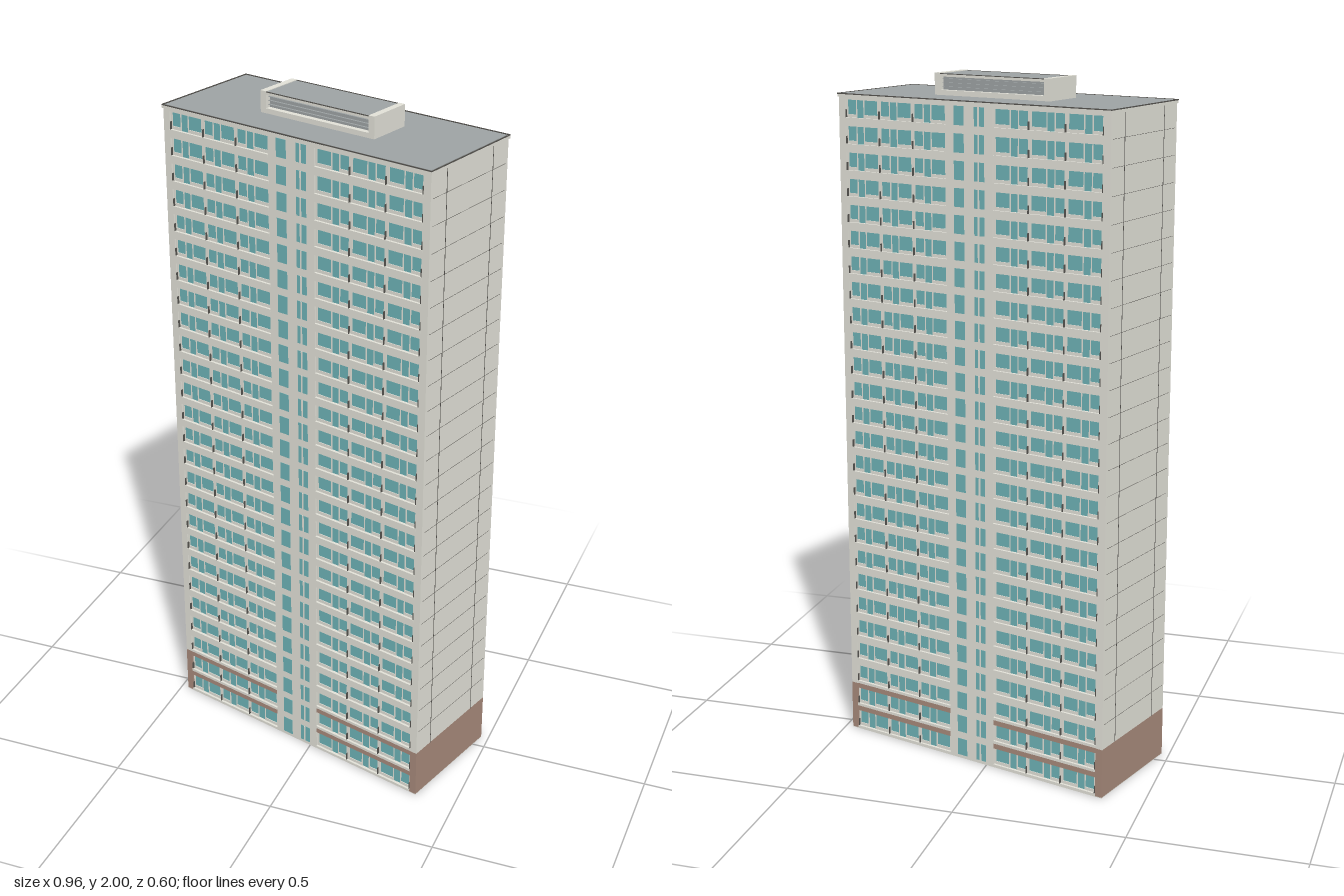
import * as THREE from 'three';
import { mergeGeometries } from 'three/addons/utils/BufferGeometryUtils.js';

const FLOORS = 26, P = 0.0745, TOP = FLOORS * P, BASE = 2 * P;
const HW = 0.446, HD = 0.177;             // half width and half depth of the tower
const BACK = 0.168;                       // depth of the recessed window wall
const BAY0 = 0.077, BAYW = 0.1157;        // balcony bays on each half

const mat = (name, color) => {
  const m = new THREE.MeshStandardMaterial({ color });
  m.name = name;
  return m;
};

export function createModel() {
  const M = {
    wall: mat('pale concrete', 0xe1e0d7),
    brick: mat('brown cladding', 0xa6897a),
    glass: mat('teal glass', 0x6db1b5),
    roof: mat('roof grey', 0x9da2a3),
    dark: mat('dark trim', 0x55534f),
  };

  // Boxes are collected per part and merged into one mesh each
  const parts = new Map();
  function box(name, material, x0, x1, y0, y1, z0, z1) {
    const g = new THREE.BoxGeometry(Math.abs(x1 - x0), y1 - y0, Math.abs(z1 - z0));
    g.translate((x0 + x1) / 2, (y0 + y1) / 2, (z0 + z1) / 2);
    if (!parts.has(name)) parts.set(name, { material, list: [] });
    parts.get(name).list.push(g);
  }

  // Solid core: pale ground slab, brown plinth storeys, concrete above
  box('groundSlab', M.wall, -HW, HW, 0, 0.002, -HD, HD);
  box('plinth', M.brick, -HW, HW, 0.002, BASE, -BACK, BACK);
  box('tower', M.wall, -HW, HW, BASE, TOP - 0.008, -BACK, BACK);

  // Both long facades; s mirrors the halves, f flips front and back
  for (const f of [1, -1]) {
    box('stairTower', M.wall, -BAY0, BAY0, 0.002, TOP - 0.008, f * (BACK - 0.01), f * HD);
    for (const s of [1, -1]) {
      // corner piers
      box('plinthPier', M.brick, s * 0.424, s * HW, 0.002, BASE, f * BACK, f * HD);
      box('cornerPier', M.wall, s * 0.424, s * HW, BASE, TOP - 0.008, f * BACK, f * HD);

      for (let i = 0; i < FLOORS; i++) {
        const y = i * P;
        // stair windows, one of each pair divided by a mullion
        box('stairWindow', M.glass, s * 0.017, s * 0.050, y + 0.010, y + 0.062, f * HD, f * (HD + 0.001));
        if (s * f > 0)
          box('stairMullion', M.wall, s * 0.029, s * 0.034, y + 0.010, y + 0.062, f * HD, f * (HD + 0.002));

        // balcony floor, and lintel band in brown on the plinth
        const low = i < 2;
        box('balconyFloor', M.wall, s * BAY0, s * 0.424, y + 0.002, y + 0.010, f * BACK, f * (HD + 0.002));
        box(low ? 'plinthBand' : 'lintelBand', low ? M.brick : M.wall, s * BAY0, s * 0.424,
          y + 0.060, y + P + (i === FLOORS - 1 ? -0.008 : 0.002), f * BACK, f * HD);

        for (let b = 0; b < 3; b++) {
          const u = BAY0 + b * BAYW;
          const zg = f * (BACK + 0.002);
          // wide window, door and narrow window
          box('wideWindow', M.glass, s * (u + 0.006), s * (u + 0.052), y + 0.019, y + 0.060, f * BACK, zg);
          box('balconyDoor', M.glass, s * (u + 0.055), s * (u + 0.078), y + 0.010, y + 0.060, f * BACK, zg);
          box('narrowWindow', M.glass, s * (u + 0.081), s * (u + 0.110), y + 0.019, y + 0.060, f * BACK, zg);
          // pale frames around the panes
          for (const [a, c] of [[0, 0.006], [0.052, 0.055], [0.078, 0.081], [0.110, BAYW]])
            box('windowFrame', M.wall, s * (u + a), s * (u + c), y + 0.010, y + 0.060, f * BACK, f * (BACK + 0.004));
          for (const [a, c] of [[0.006, 0.052], [0.081, 0.110]])
            box('windowSill', M.wall, s * (u + a), s * (u + c), y + 0.010, y + 0.019, f * BACK, f * (BACK + 0.004));
          // slim dark post at the bay edge
          box('railingPost', M.dark, s * (u + BAYW - 0.003), s * (u + BAYW - 0.001), y + 0.010, y + 0.032,
            f * (BACK + 0.004), f * (HD + 0.001));
        }
      }
    }
  }

  // Panel joints on the blank end walls
  for (const s of [1, -1]) {
    const x0 = s * HW, x1 = s * (HW + 0.0006);
    for (let i = 3; i < FLOORS; i++)
      box('panelJoint', M.dark, x0, x1, i * P, i * P + 0.0008, -BACK, BACK);
    for (const z of [-0.106, 0.106])
      box('panelJoint', M.dark, x0, x1, BASE, TOP - 0.008, z - 0.001, z + 0.001);
  }

  // Roof: pale eaves, grey deck and a thin dark rim
  box('eaves', M.wall, -0.449, 0.449, TOP - 0.008, TOP, -0.180, 0.180);
  box('roofDeck', M.roof, -0.443, 0.443, TOP, TOP + 0.002, -0.174, 0.174);
  for (const s of [1, -1]) {
    box('roofRim', M.dark, -0.449, 0.449, TOP, TOP + 0.003, s * 0.178, s * 0.180);
    box('roofRim', M.dark, s * 0.447, s * 0.449, TOP, TOP + 0.003, -0.178, 0.178);
  }

  // Plant room: end walls, kerb, roof slab and louvred recess
  const PL = 0.19, PD = 0.068;
  for (const s of [1, -1]) {
    box('plantRoomEnd', M.wall, s * 0.171, s * PL, TOP, 2, -PD, PD);
    box('plantRoomEave', M.wall, -0.171, 0.171, 1.990, 1.997, s * (PD - 0.004), s * (PD - 0.001));
    box('plantRoomRoofEdge', M.dark, -0.171, 0.171, 1.997, 1.999, s * (PD - 0.003), s * PD);
    for (let i = 0; i < 3; i++)
      box('louvre', M.roof, -0.171, 0.171, 1.960 + i * 0.011, 1.962 + i * 0.011, s * (PD - 0.016), s * (PD - 0.010));
  }
  box('plantRoomKerb', M.wall, -0.171, 0.171, TOP, 1.953, -PD, PD);
  box('plantRoomCore', M.roof, -0.171, 0.171, 1.953, 1.990, -PD + 0.016, PD - 0.016);
  box('plantRoomRoof', M.roof, -0.171, 0.171, 1.990, 1.998, -PD + 0.004, PD - 0.004);

  const tower = new THREE.Group();
  tower.name = 'towerBlock';
  for (const [name, { material, list }] of parts) {
    const mesh = new THREE.Mesh(mergeGeometries(list), material);
    mesh.name = name;
    tower.add(mesh);
  }
  tower.rotation.y = -0.283;   // the tower stands at an angle to the axes

  const model = new THREE.Group();
  model.name = 'apartmentTower';
  model.add(tower);
  return model;
}
